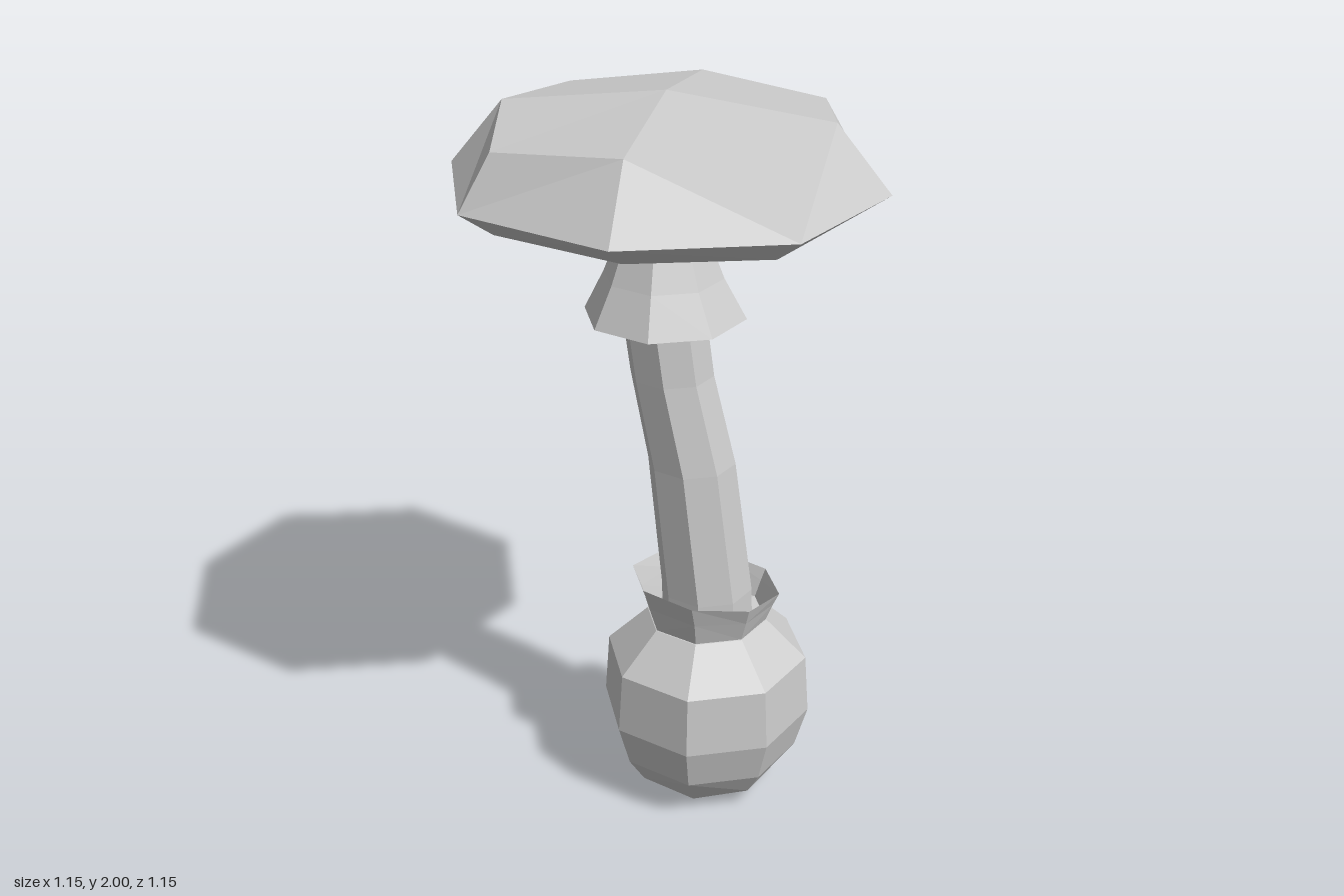
import * as THREE from 'three';

const SIDES = 8;

// Ring of a loft: centre, radius, optional slope of the ring along x,
// and radius factor / lift for the four diagonal corners.
const ring = (x, y, z, r, { slope = 0, diag = 1, lift = 0 } = {}) => ({ x, y, z, r, slope, diag, lift });

function ringPoint(k, i, turn) {
  const a = (i / SIDES) * Math.PI * 2 + turn;
  const odd = i % 2 === 1;
  const r = k.r * (odd ? k.diag : 1);
  const dx = Math.cos(a) * r;
  return [k.x + dx, k.y + dx * k.slope + (odd && k.r > 0 ? k.lift : 0), k.z + Math.sin(a) * r];
}

// Skin eight-sided rings, listed from the inside/bottom upward, with flat facets.
function loft(name, rings, { turn = 0, open = false } = {}) {
  const pos = [];
  for (let k = 0; k < rings.length - 1; k++) {
    const lo = rings[k], hi = rings[k + 1];
    for (let i = 0; i < SIDES; i++) {
      const j = (i + 1) % SIDES;
      const a = ringPoint(lo, i, turn), b = ringPoint(hi, i, turn);
      const c = ringPoint(hi, j, turn), d = ringPoint(lo, j, turn);
      // split every quad symmetrically about the axis corners
      if (i % 2 === 0) {
        if (hi.r > 0) pos.push(...a, ...b, ...c);
        if (lo.r > 0) pos.push(...a, ...c, ...d);
      } else {
        if (lo.r > 0) pos.push(...a, ...b, ...d);
        if (hi.r > 0) pos.push(...b, ...c, ...d);
      }
    }
  }
  const geo = new THREE.BufferGeometry();
  geo.setAttribute('position', new THREE.Float32BufferAttribute(pos, 3));
  geo.computeVertexNormals();
  const mat = new THREE.MeshStandardMaterial({
    color: 0xcccccc,
    flatShading: true,
    side: open ? THREE.DoubleSide : THREE.FrontSide,
  });
  const mesh = new THREE.Mesh(geo, mat);
  mesh.name = name;
  return mesh;
}

export function createModel() {
  const group = new THREE.Group();
  group.name = 'mushroom';

  // bulbous base
  const bx = 0.077, bz = 0.087;
  group.add(loft('bulb', [
    ring(bx, 0, bz, 0),
    ring(bx, 0.055, bz, 0.21, { diag: 0.87, lift: -0.025 }),
    ring(bx, 0.13, bz, 0.258),
    ring(bx, 0.25, bz, 0.292),
    ring(bx, 0.42, bz, 0.28),
    ring(bx, 0.53, bz, 0.168),
    ring(bx, 0.55, bz, 0.1),
  ]));

  // slanted collar around the foot of the stem
  group.add(loft('collar', [
    ring(bx, 0.53, bz, 0.165),
    ring(bx, 0.59, bz, 0.185, { slope: -0.07 }),
    ring(bx - 0.005, 0.64, bz, 0.205, { slope: -0.15 }),
  ], { open: true }));

  // leaning stem
  group.add(loft('stem', [
    ring(0.08, 0.5, 0.086, 0.126),
    ring(0.078, 0.62, 0.083, 0.126),
    ring(0.048, 1.0, 0.05, 0.119),
    ring(0.01, 1.25, 0.012, 0.112),
    ring(-0.005, 1.41, -0.003, 0.112),
    ring(0, 1.64, -0.01, 0.098),
    ring(-0.004, 1.76, -0.01, 0.1),
  ]));

  // flared skirt under the cap, open below
  group.add(loft('skirt', [
    ring(-0.002, 1.415, -0.003, 0.214),
    ring(-0.003, 1.52, -0.008, 0.158),
    ring(0.001, 1.64, -0.015, 0.11),
    ring(-0.004, 1.73, -0.013, 0.118),
  ], { open: true }));

  // faceted cap
  const slope = -0.01;
  group.add(loft('cap', [
    ring(0, 1.73, 0, 0),
    ring(0, 1.722, 0, 0.22),
    ring(0, 1.712, 0, 0.485, { slope, diag: 0.92, lift: -0.006 }),
    ring(0, 1.777, 0, 0.576, { slope, diag: 0.98 }),
    ring(0, 1.915, 0, 0.486, { slope, diag: 0.87, lift: 0.033 }),
    ring(0, 2, 0, 0),
  ], { turn: 0.03 }));

  return group;
}
